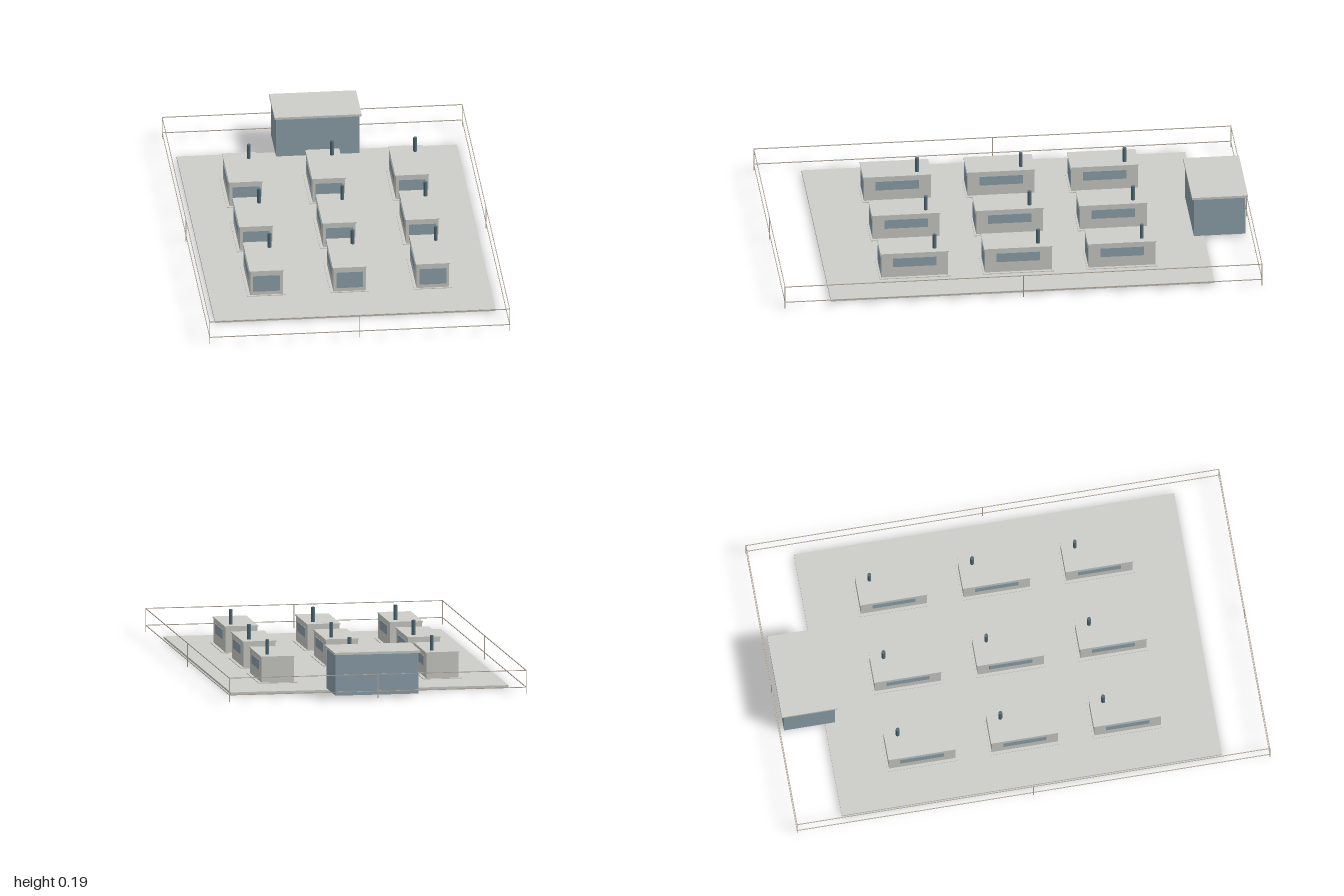
import * as THREE from 'three';

const mat = (name, color) => {
  const m = new THREE.MeshStandardMaterial({ color });
  m.name = name;
  return m;
};

export function createModel() {
  const concrete = mat('concrete', 0xcecec9);
  const glass = mat('blue grey glass', 0x90a4ae);
  const rail = mat('pale fence', 0xb5ada0);
  const flue = mat('slate pipe', 0x546e7a);

  // Box given by its lower and upper corners
  const box = (parent, name, material, [x0, y0, z0], [x1, y1, z1]) => {
    const mesh = new THREE.Mesh(new THREE.BoxGeometry(x1 - x0, y1 - y0, z1 - z0), material);
    mesh.position.set((x0 + x1) / 2, (y0 + y1) / 2, (z0 + z1) / 2);
    mesh.name = name;
    parent.add(mesh);
    return mesh;
  };

  const model = new THREE.Group();
  model.name = 'compound';
  box(model, 'groundSlab', concrete, [-0.587, 0.001, -0.803], [0.587, 0.01, 0.803]);

  // One cabin, centred on its own origin
  const createCabin = () => {
    const cabin = new THREE.Group();
    cabin.name = 'cabin';
    box(cabin, 'plinth', concrete, [-0.081, 0.009, -0.148], [0.081, 0.013, 0.148]);
    box(cabin, 'walls', concrete, [-0.068, 0.012, -0.14], [0.068, 0.119, 0.14]);
    box(cabin, 'roof', concrete, [-0.071, 0.118, -0.143], [0.071, 0.123, 0.143]);
    box(cabin, 'frontWindow', glass, [-0.056, 0.029, 0.138], [0.056, 0.1, 0.142]);
    for (const s of [-1, 1]) {
      const pane = box(cabin, 'sideWindow', glass, [-0.002, 0.06, -0.091], [0.002, 0.1, 0.091]);
      pane.position.x = s * 0.069;
    }
    const pipe = new THREE.Mesh(new THREE.CylinderGeometry(0.008, 0.008, 0.066, 16), flue);
    pipe.name = 'fluePipe';
    pipe.position.set(0.035, 0.153, -0.086);
    cabin.add(pipe);
    return cabin;
  };

  // Three by three cabins
  for (const col of [-1, 0, 1]) {
    for (const row of [-1, 0, 1]) {
      const cabin = createCabin();
      cabin.position.set(col * 0.348, 0, row * 0.434);
      model.add(cabin);
    }
  }

  // Main building at the back
  const hall = new THREE.Group();
  hall.name = 'mainBuilding';
  box(hall, 'hallWalls', glass, [-0.175, 0.011, -0.976], [0.175, 0.184, -0.76]);
  box(hall, 'hallRoof', concrete, [-0.182, 0.183, -0.986], [0.182, 0.193, -0.752]);
  model.add(hall);

  // Perimeter fence: posts at corners and mid-sides, two rails all round
  const fence = new THREE.Group();
  fence.name = 'fence';
  const X = 0.6275, Z = 0.9985, r = 0.0015;
  for (const i of [-1, 0, 1]) {
    for (const k of [-1, 0, 1]) {
      if (i === 0 && k === 0) continue;
      box(fence, 'fencePost', rail, [i * X - r, 0, k * Z - r], [i * X + r, 0.102, k * Z + r]);
    }
  }
  for (const y of [0.029, 0.1]) {
    for (const s of [-1, 1]) {
      box(fence, 'crossRail', rail, [-X, y - r, s * Z - r], [X, y + r, s * Z + r]);
      box(fence, 'sideRail', rail, [s * X - r, y - r, -Z], [s * X + r, y + r, Z]);
    }
  }
  model.add(fence);
  return model;
}
